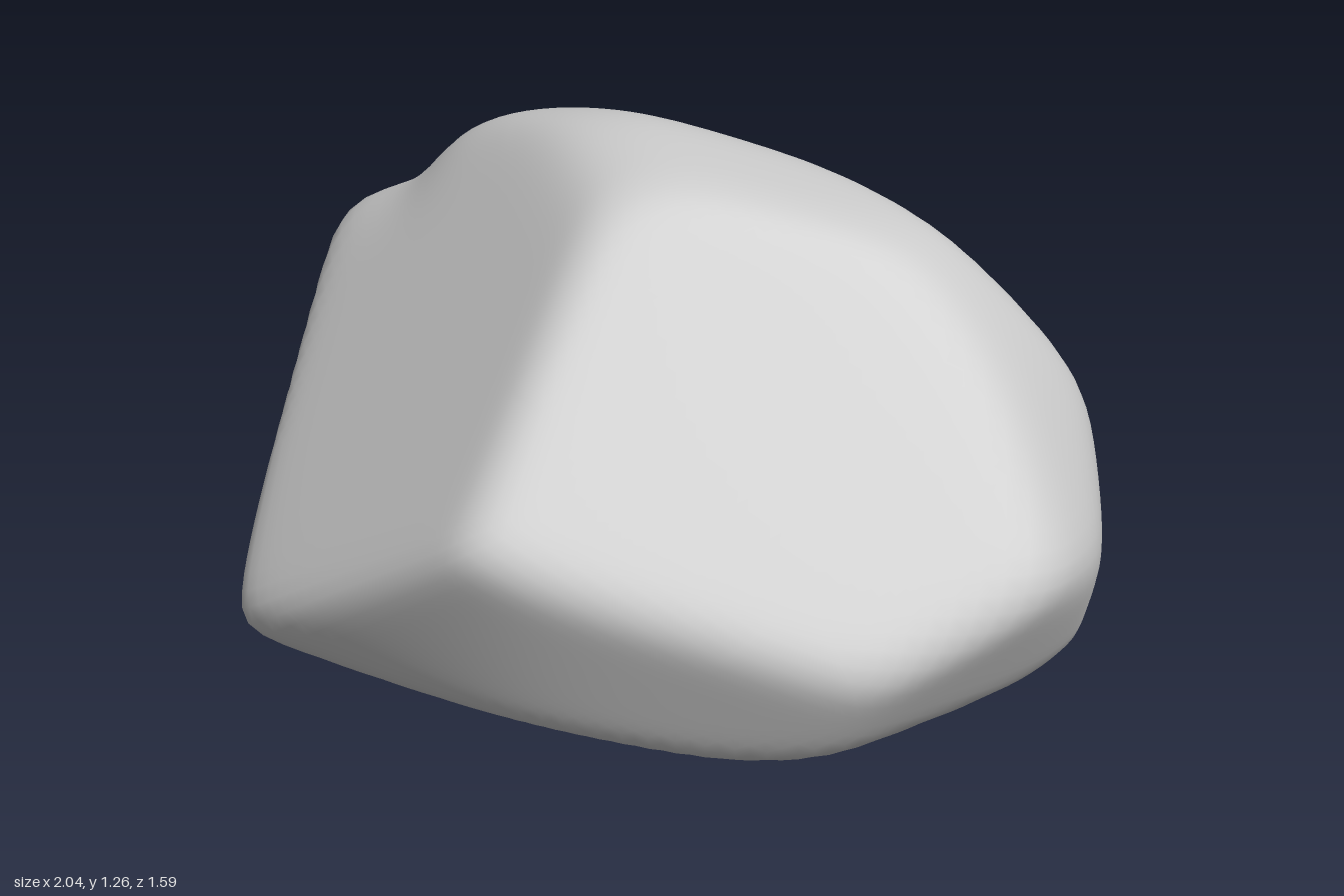
import * as THREE from 'three';
import { mergeVertices } from 'three/addons/utils/BufferGeometryUtils.js';

// Each worn facet of the boulder: outward normal x, y, z and plane offset
const FRONT = [
  [-0.35, 0.60, 0.72, 0.882],
  [0.557, 0.572, 0.603, 0.847],
  [0.15, -0.33, 0.93, 0.56],
  [0.4, -0.33, 0.85, 0.535],
  [-0.68, 0, 0.73, 0.985],
  [0, -0.55, 0.83, 0.505],
];
const SIDES = [
  [-0.95, -0.17, 0.26, 0.82],
  [-0.97, -0.17, -0.1, 0.905],
  [0.86, 0.5, -0.1, 1.135],
  [0.9, -0.42, -0.05, 0.755],
  [0.8, -0.5, 0.3, 0.605],
  [0.8, 0, -0.6, 0.96],
];
const BACK = [
  [-0.26, -0.08, -0.96, 0.75],
  [-0.1, 0.2, -0.97, 0.85],
  [0.36, 0.2, -0.91, 0.88],
  [0.2, 0.57, -0.795, 0.965],
  [-0.35, 0.7, -0.6, 1.14],
];
const TOP = [
  [0.28, 0.96, 0, 1.208],
  [0.68, 0.73, 0, 1.175],
  [-0.2, 0.98, 0, 1.295],
  [-0.55, 0.83, 0, 1.32],
  [0, 0.87, -0.5, 1.17],
  [0, 0.92, 0.38, 1.18],
];
const UNDERSIDE = [
  [0, -1, 0, 0.005],
  [0.2, -0.98, 0, 0.045],
  [-0.2, -0.98, 0, 0.1],
  [0, -0.97, 0.25, 0.05],
  [0, -0.98, -0.2, 0.055],
];
const CENTRE = new THREE.Vector3(0, 0.5, -0.03);
const SHARPNESS = 28;

// Facets measured from the centre, so that normal . point = 1 on each plane
const PLANES = [...FRONT, ...SIDES, ...BACK, ...TOP, ...UNDERSIDE].map(([x, y, z, offset]) => {
  const n = new THREE.Vector3(x, y, z);
  return n.divideScalar(offset - n.dot(CENTRE));
});

// Shallow chip on the upper shoulder
const CHIP = new THREE.Vector3(-0.77, 0.5, -0.07).normalize();

// Distance from the centre to the softly blended facets along a direction
function radius(dir) {
  let sum = 0;
  for (const plane of PLANES) sum += Math.max(0, plane.dot(dir)) ** SHARPNESS;
  const chip = 0.05 * Math.exp(-((dir.angleTo(CHIP) / 0.16) ** 2));
  return sum ** (-1 / SHARPNESS) * (1 - chip);
}

export function createModel() {
  const stone = new THREE.MeshStandardMaterial({ color: 0xc8c8c8 });
  stone.name = 'grey stone';

  // Sphere pushed out to the facets
  let geometry = new THREE.IcosahedronGeometry(1, 28);
  geometry.deleteAttribute('uv');
  geometry.deleteAttribute('normal');
  geometry = mergeVertices(geometry, 1e-4);
  const pos = geometry.attributes.position;
  const v = new THREE.Vector3();
  for (let i = 0; i < pos.count; i++) {
    v.fromBufferAttribute(pos, i).normalize();
    v.multiplyScalar(radius(v)).add(CENTRE);
    pos.setXYZ(i, v.x, v.y, v.z);
  }
  geometry.computeVertexNormals();

  const boulder = new THREE.Mesh(geometry, stone);
  boulder.name = 'boulder';
  const group = new THREE.Group();
  group.name = 'rock';
  group.add(boulder);
  return group;
}
